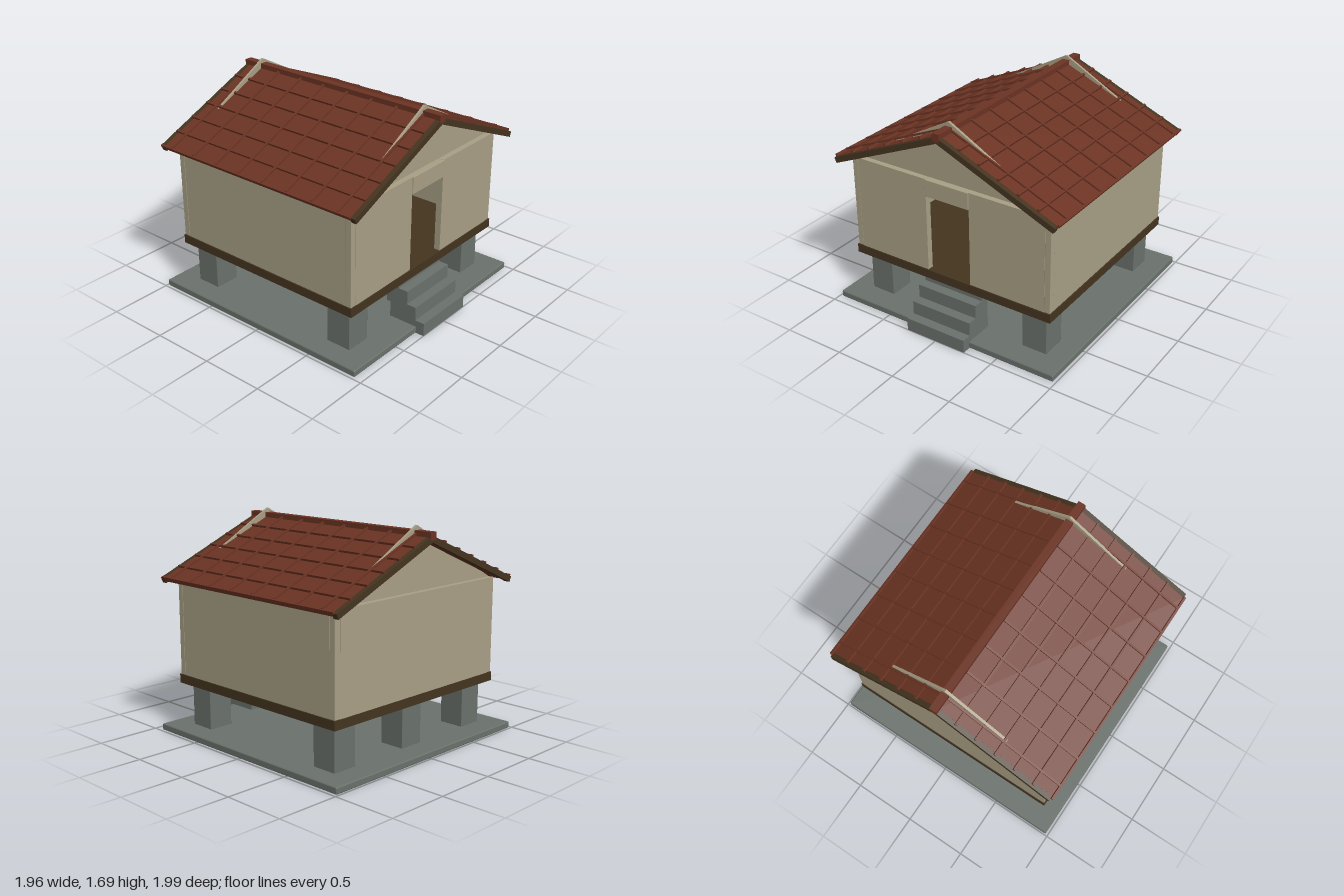
import * as THREE from 'three';
import { RoundedBoxGeometry } from 'three/addons/geometries/RoundedBoxGeometry.js';

const material = (name, color) => {
  const m = new THREE.MeshStandardMaterial({ color });
  m.name = name;
  return m;
};

export function createModel() {
  const plaster = material('plaster', 0xa89f85);
  const timber = material('dark timber', 0x44341f);
  const stone = material('stone', 0x6a716b);
  const tile = material('roof tile', 0x6b3323);

  const model = new THREE.Group();
  model.name = 'raisedStorehouse';

  // Box given by its min/max extents; a bevel softens the edges
  const box = (name, mat, [x0, x1], [y0, y1], [z0, z1], bevel = 0, parent = model) => {
    const size = [x1 - x0, y1 - y0, z1 - z0];
    const geo = bevel ? new RoundedBoxGeometry(...size, 1, bevel) : new THREE.BoxGeometry(...size);
    const mesh = new THREE.Mesh(geo, mat);
    mesh.position.set((x0 + x1) / 2, (y0 + y1) / 2, (z0 + z1) / 2);
    mesh.name = name;
    parent.add(mesh);
    return mesh;
  };

  // Ground slab
  box('groundSlab', stone, [-0.98, 0.98], [0, 0.053], [-0.99, 0.93], 0.01);

  // Entrance steps
  [0.105, 0.213, 0.32, 0.392].forEach((top, i) =>
    box('step', stone, [-0.26, 0.26], [0, top], [0.69, 1 - i * 0.078]));

  // Stone piers, three across the front and three across the back
  for (const x of [-0.705, 0, 0.705])
    for (const z of [-0.7, 0.64])
      box('pier', stone, [x - 0.103, x + 0.103], [0.05, 0.395], [z - 0.103, z + 0.103], 0.005);

  // Floor platform
  box('floorPlatform', timber, [-0.877, 0.877], [0.39, 0.46], [-0.872, 0.815]);

  // Walls with corner posts and a doorway in the front
  const wallY = [0.46, 1.215];
  const front = [0.757, 0.807], back = [-0.867, -0.817];
  box('backWall', plaster, [-0.82, 0.82], wallY, back);
  for (const s of [-1, 1]) {
    const span = (a, b) => (s > 0 ? [a, b] : [-b, -a]);
    box('sideWall', plaster, span(0.82, 0.868), wallY, [-0.817, 0.757]);
    box('frontWall', plaster, span(0.19, 0.82), wallY, front);
    box('cornerPost', plaster, span(0.82, 0.87), wallY, front, 0.004);
    box('cornerPost', plaster, span(0.82, 0.87), wallY, back, 0.004);
  }
  box('doorLintel', plaster, [-0.19, 0.19], [1.08, 1.215], [0.757, 0.815], 0.003);

  // Gable panels, whose peaks rise through the roof
  const triangle = new THREE.Shape([[-0.87, 1.213], [0.87, 1.213], [0, 1.69]]
    .map(([x, y]) => new THREE.Vector2(x, y)));
  const gableGeo = new THREE.ExtrudeGeometry(triangle, { depth: 0.02, bevelEnabled: false });
  for (const z of [0.742, -0.824]) {
    const gable = new THREE.Mesh(gableGeo, plaster);
    gable.name = 'gable';
    gable.position.z = z;
    model.add(gable);
  }

  // Roof slopes: local x runs down the slope, local y is its normal
  const pitch = 0.403;
  for (const s of [1, -1]) {
    const slope = new THREE.Group();
    slope.name = s > 0 ? 'leftRoofSlope' : 'rightRoofSlope';
    slope.position.set(0, 1.58, -0.03 + s * 0.03);
    slope.position.z = 0;
    // The mirrored side is turned half round, so its z values are negated
    const inner = new THREE.Group();
    inner.rotation.z = -pitch;
    slope.add(inner);
    if (s < 0) slope.rotation.y = Math.PI;
    model.add(slope);
    const z = (a, b) => (s > 0 ? [a, b] : [-b, -a]);

    box('roofPanel', tile, [0, 1.02], [0.015, 0.045], z(-0.93, 0.87), 0, inner);
    box('bargeboard', timber, [0, 1.022], [0, 0.044], z(0.865, 0.908), 0, inner);
    box('bargeboard', timber, [0, 1.022], [0, 0.044], z(-0.968, -0.925), 0, inner);

    // Courses across the slope
    for (let i = 1; i <= 6; i++) {
      const x = (i * 0.159) / Math.cos(pitch) - 0.012;
      box('tileCourse', tile, [x - 0.009, x + 0.009], [0.043, 0.062], z(-0.95, 0.877), 0, inner);
    }
    // Ribs down the slope
    for (let i = 0; i < 8; i++) {
      const c = -0.838 + i * 0.2293;
      box('tileRib', tile, [0.01, 1.02], [0.054, 0.067], z(c - 0.008, c + 0.008), 0, inner);
    }
  }

  // Ridge cap
  box('ridgeCap', tile, [-0.03, 0.03], [1.595, 1.655], [-0.972, 0.912]);

  return model;
}
